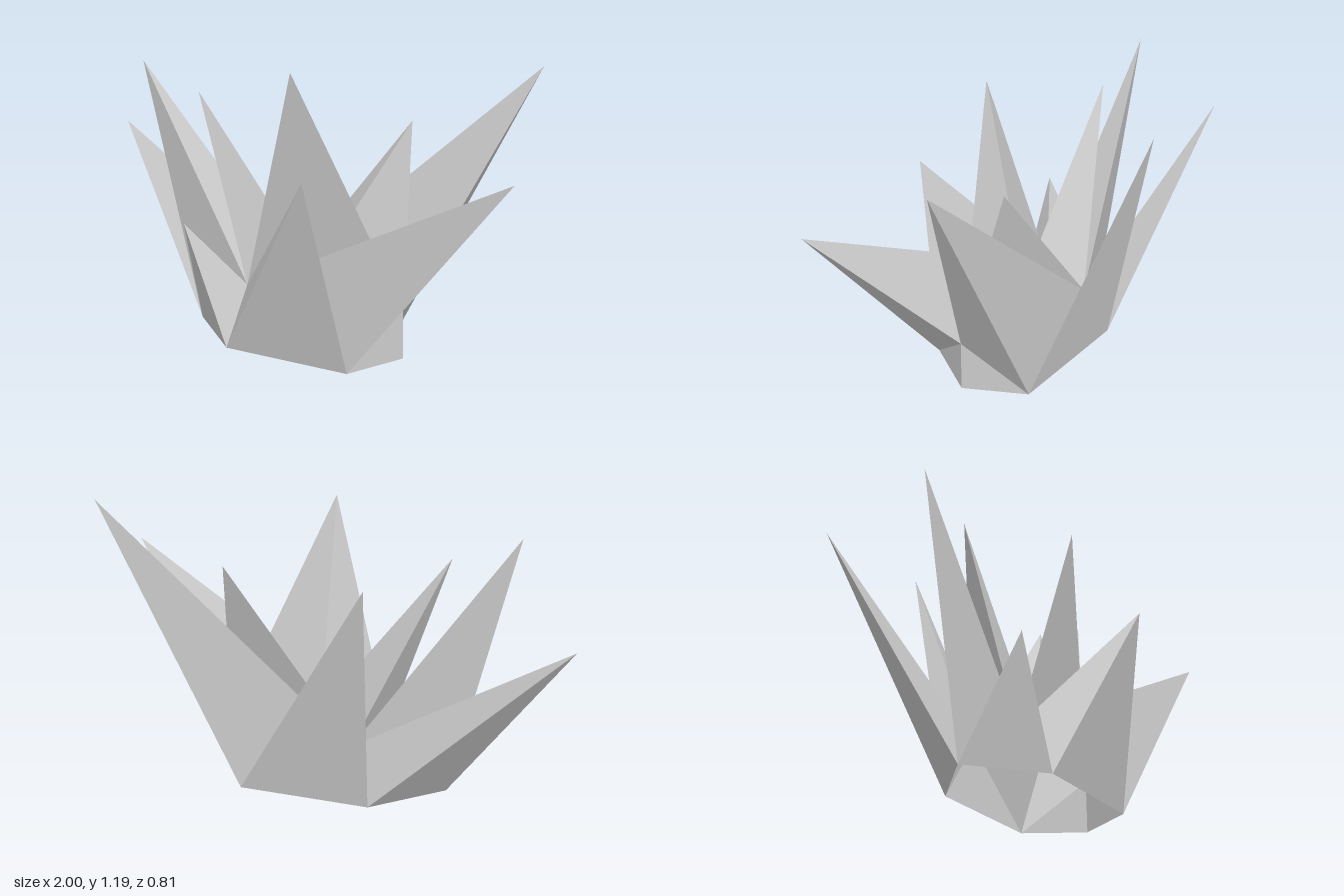
import * as THREE from 'three';

// Corners of the low dome: a six-sided ground ring and four raised inner points
const P = {
  left: [0.475, 0, 0], frontLeft: [0.34, 0, 0.24], frontRight: [-0.21, 0, 0.24],
  right: [-0.475, 0, 0], backRight: [-0.21, 0, -0.24], backLeft: [0.34, 0, -0.24],
  rim: [0.47, 0.22, 0], innerFront: [-0.2, 0.225, 0.08],
  innerBack: [-0.12, 0.23, -0.175], crown: [0.07, 0.3, 0],
};

// Spikes: name, three base corners (counter-clockwise from outside), tip
const SPIKES = [
  ['smallFrontSpike', 'right', 'frontRight', 'innerFront', [-0.41, 0.505, 0.23]],
  ['frontSpike', 'frontRight', 'frontLeft', 'innerFront', [0.225, 0.805, 0.405]],
  ['frontLeftSpike', 'frontLeft', 'rim', 'innerFront', [0.995, 0.87, 0.27]],
  ['upperFrontSpike', 'innerFront', 'rim', 'crown', [0.06, 1.165, 0.185]],
  ['upperBackSpike', 'crown', 'rim', 'innerBack', [0.412, 0.94, -0.185]],
  ['upperRightSpike', 'innerFront', 'crown', 'innerBack', [-0.47, 1.005, 0]],
  ['rightSpike', 'right', 'innerFront', 'innerBack', [-0.74, 1.11, 0]],
  ['backRightSpike', 'right', 'innerBack', 'backRight', [-1, 0.77, -0.235]],
  ['backSpike', 'backRight', 'innerBack', 'backLeft', [-0.235, 0.98, -0.408]],
  ['backLeftSpike', 'backLeft', 'innerBack', 'rim', [0.91, 1.19, -0.27]],
];

export function createModel() {
  const group = new THREE.Group();
  group.name = 'spikyCluster';
  const material = new THREE.MeshStandardMaterial({
    color: 0xcccccc, flatShading: true, side: THREE.DoubleSide,
  });

  // Mesh from a list of triangles, each given as three points
  const addFaces = (name, triangles) => {
    const geometry = new THREE.BufferGeometry();
    geometry.setAttribute('position', new THREE.Float32BufferAttribute(triangles.flat(2), 3));
    geometry.computeVertexNormals();
    const mesh = new THREE.Mesh(geometry, material);
    mesh.name = name;
    group.add(mesh);
  };

  // Three-sided spikes, open at the base
  for (const [name, a, b, c, tip] of SPIKES) {
    const base = [P[a], P[b], P[c]];
    addFaces(name, base.map((p, i) => [p, base[(i + 1) % 3], tip]));
  }

  // Plain wall on the left end
  addFaces('leftWall', [
    [P.frontLeft, P.left, P.rim],
    [P.left, P.backLeft, P.rim],
  ]);

  return group;
}
